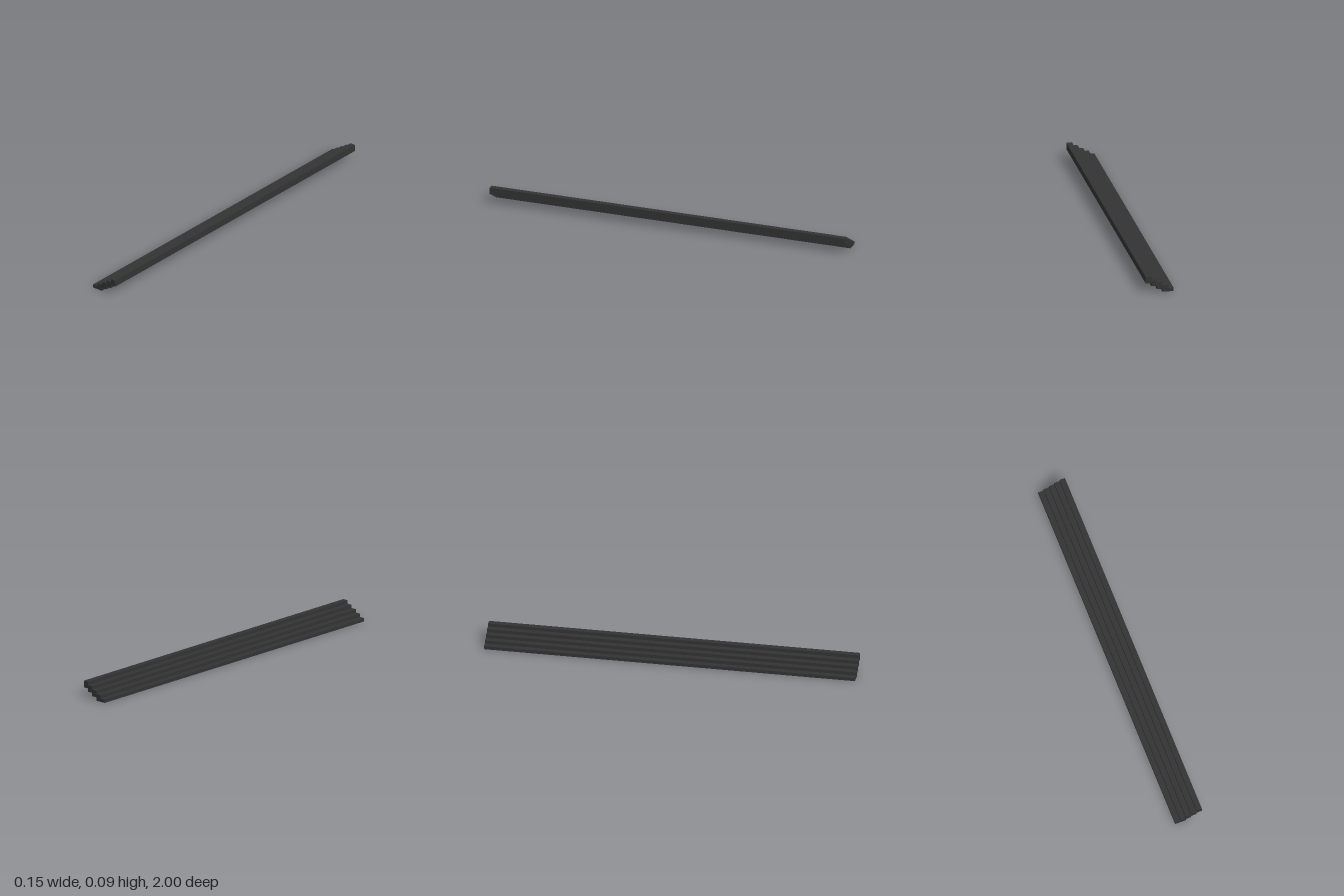
import * as THREE from 'three';

const STEPS = 5, RUN = 0.0303, RISE = 0.0183, LENGTH = 2;

// Stepped cross-section: treads along the top, matching notches underneath
function stairProfile() {
  const x0 = -STEPS * RUN / 2;
  const points = [];
  for (let i = 0; i < STEPS; i++) {
    const bottom = Math.max(0, i - 1) * RISE;
    // the first two steps share the flat base
    if (i !== 1) points.push(new THREE.Vector2(x0 + i * RUN, bottom));
    if (i !== 0) points.push(new THREE.Vector2(x0 + (i + 1) * RUN, bottom));
  }
  for (let i = STEPS - 1; i >= 0; i--) {
    const top = (i + 1) * RISE;
    points.push(new THREE.Vector2(x0 + (i + 1) * RUN, top), new THREE.Vector2(x0 + i * RUN, top));
  }
  return new THREE.Shape(points);
}

export function createModel() {
  const group = new THREE.Group();
  group.name = 'wideStaircase';

  // One long flight extruded along z
  const geometry = new THREE.ExtrudeGeometry(stairProfile(), { depth: LENGTH, bevelEnabled: false });
  geometry.translate(0, 0, -LENGTH / 2);
  const steps = new THREE.Mesh(geometry, new THREE.MeshStandardMaterial({ color: 0x333333 }));
  steps.name = 'steps';
  group.add(steps);

  return group;
}
